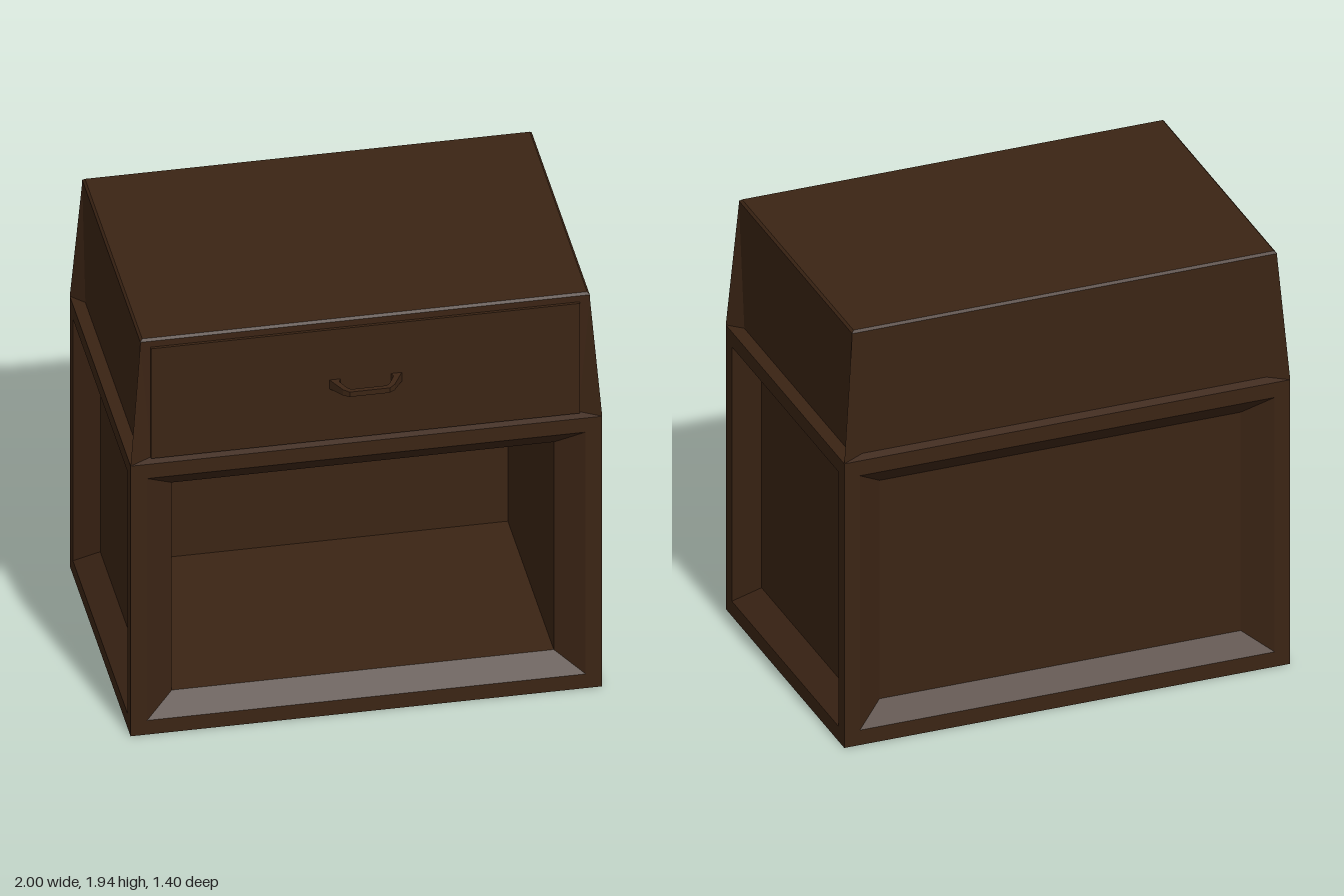
import * as THREE from 'three';
import { ConvexGeometry } from 'three/addons/geometries/ConvexGeometry.js';

const wood = new THREE.MeshStandardMaterial({ color: 0x3b2414, flatShading: true });
const CZ = -0.0375; // middle of the cabinet depth
const HX = 1, HZ = 0.6625, H = 1.34; // half width, half depth, height of the lower body

// Skin joining rectangular rings [halfU, halfV, z], facing +z, closed by a flat cap on the last ring
function rectLoft(rings) {
  const pos = [];
  const corners = ([u, v, z]) => [[-u, -v, z], [u, -v, z], [u, v, z], [-u, v, z]];
  const quad = (a, b, c, d) => pos.push(...a, ...b, ...c, ...a, ...c, ...d);
  for (let i = 0; i + 1 < rings.length; i++) {
    const a = corners(rings[i]), b = corners(rings[i + 1]);
    for (let k = 0; k < 4; k++) {
      const n = (k + 1) % 4;
      quad(a[k], a[n], b[n], b[k]);
    }
  }
  quad(...corners(rings[rings.length - 1]));
  const g = new THREE.BufferGeometry();
  g.setAttribute('position', new THREE.Float32BufferAttribute(pos, 3));
  g.computeVertexNormals();
  return g;
}

export function createModel() {
  const model = new THREE.Group();
  model.name = 'nightstand';
  const add = (name, geometry, parent = model) => {
    const mesh = new THREE.Mesh(geometry, wood);
    mesh.name = name;
    parent.add(mesh);
    return mesh;
  };

  // Lower body: frames with bevelled openings on all four sides
  const wide = (bevel) => [[HX, 0.67, 0], [0.93, 0.6, 0], [0.81, 0.515, -bevel]];
  const narrow = [[HZ, 0.67, 0], [0.595, 0.6, 0], [0.512, 0.515, -0.1]];
  add('openCompartment', rectLoft([...wide(0.08), [0.81, 0.515, -1.08]]))
    .position.set(0, 0.67, CZ + HZ);
  const back = add('backPanel', rectLoft(wide(0.08)));
  back.position.set(0, 0.67, CZ - HZ);
  back.rotation.y = Math.PI;
  for (const s of [1, -1]) {
    const side = add(s > 0 ? 'leftSidePanel' : 'rightSidePanel', rectLoft(narrow));
    side.position.set(s * HX, 0.67, CZ);
    side.rotation.y = s * Math.PI / 2;
  }
  add('underside', rectLoft([[HX, HZ, 0]]).rotateX(Math.PI / 2)).position.z = CZ;

  // Upper case: sloping ledge, upright walls, small chamfer round the top
  add('upperCase', rectLoft([
    [HX, HZ, H], [0.95, 0.63, 1.355], [0.953, 0.633, 1.93], [0.943, 0.623, 1.94],
  ]).rotateX(-Math.PI / 2)).position.z = CZ;

  // Corner fins flaring down to the corners of the body
  for (const sx of [1, -1]) for (const sz of [1, -1]) {
    const p = (x, y, z) => new THREE.Vector3(sx * x, y, CZ + sz * z);
    add('cornerFin', new ConvexGeometry([
      p(HX, H, HZ), p(0.945, H, 0.57), p(0.89, H, 0.625), p(0.952, 1.93, 0.632),
    ]));
  }

  // Drawer front
  const drawer = new THREE.Group();
  drawer.name = 'drawer';
  model.add(drawer);
  add('drawerFront', new THREE.BoxGeometry(1.82, 0.545, 0.03), drawer).position.set(0, 1.628, 0.593);

  // Handle: bracket outline, thinned in height towards the grip
  const half = [[0.155, 0.605], [0.14, 0.63], [0.11, 0.68], [0.085, 0.7]];
  const inner = [[0.075, 0.682], [0.09, 0.67], [0.115, 0.625], [0.105, 0.605]];
  const flip = (pts) => pts.map(([x, z]) => [-x, z]).reverse();
  const outline = [...half, ...flip(half), ...flip(inner), ...inner];
  const shape = new THREE.Shape(outline.map(([x, z]) => new THREE.Vector2(x, z)));
  const grip = new THREE.ExtrudeGeometry(shape, { depth: 1, bevelEnabled: false });
  grip.translate(0, 0, -0.5).rotateX(Math.PI / 2);
  const gp = grip.attributes.position;
  for (let i = 0; i < gp.count; i++) {
    const t = (gp.getZ(i) - 0.605) / 0.095;
    gp.setY(i, gp.getY(i) * THREE.MathUtils.lerp(0.045, 0.024, t));
  }
  grip.computeVertexNormals();
  add('handle', grip, drawer).position.y = 1.63;

  return model;
}
